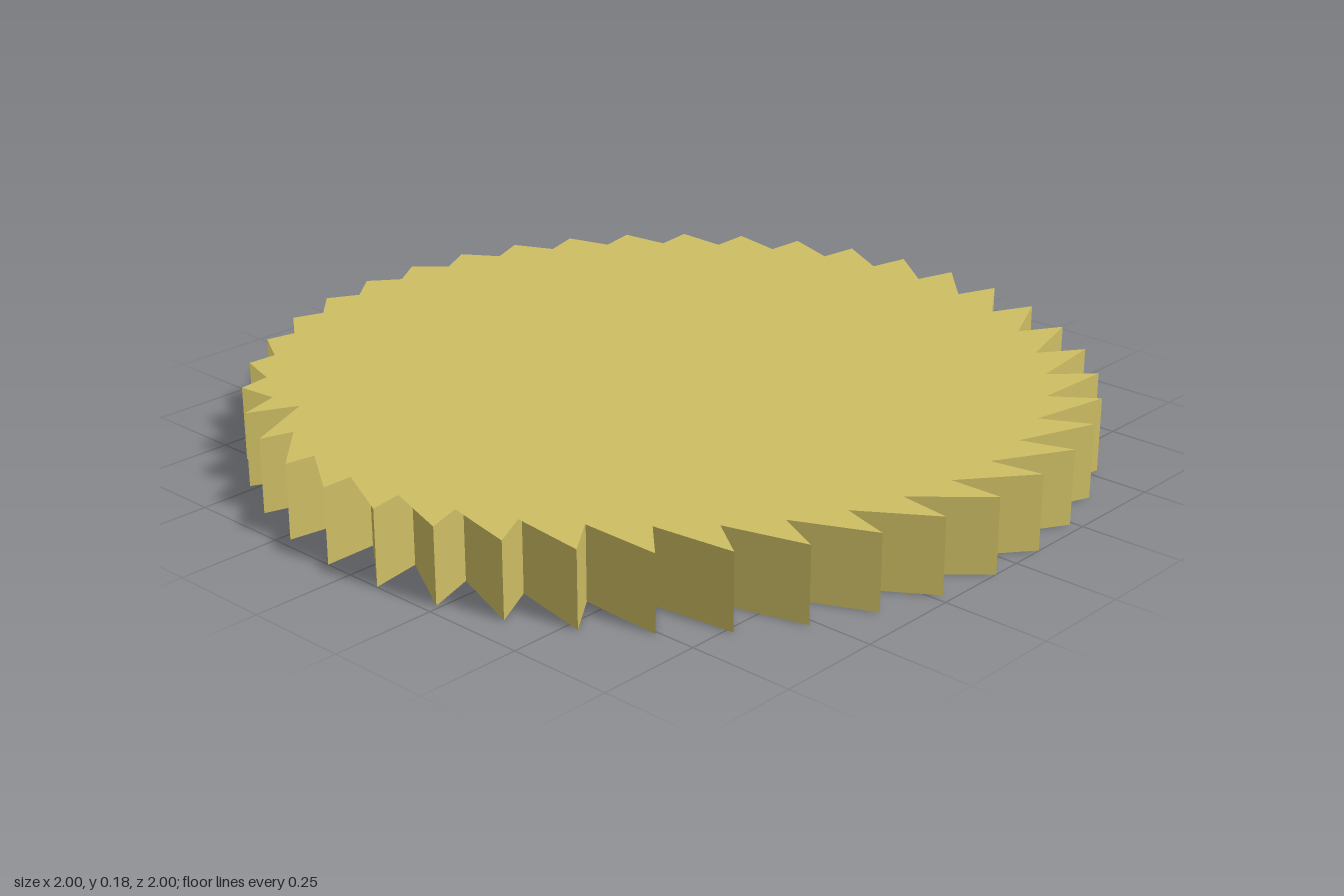
import * as THREE from 'three';

const TEETH = 40, HEIGHT = 0.18;
// Radius and angle (degrees) of the tip and root corner of the first tooth
const TOOTH = [[1.0026, 4.86], [0.877, 4.2]];

// Sawtooth outline, counter-clockwise from above: tip, then root just inside it
function outline() {
  const points = [];
  for (let i = 0; i < TEETH; i++) {
    for (const [r, degrees] of TOOTH) {
      const a = THREE.MathUtils.degToRad(degrees + i * 360 / TEETH);
      points.push([r * Math.cos(a), -r * Math.sin(a)]);
    }
  }
  return points;
}

function toGeometry(positions) {
  const g = new THREE.BufferGeometry();
  g.setAttribute('position', new THREE.Float32BufferAttribute(positions, 3));
  g.computeVertexNormals();
  return g;
}

// Upright walls, two triangles per outline edge
function rim(points) {
  const positions = [];
  points.forEach(([ax, az], i) => {
    const [bx, bz] = points[(i + 1) % points.length];
    positions.push(ax, 0, az, bx, 0, bz, bx, HEIGHT, bz);
    positions.push(ax, 0, az, bx, HEIGHT, bz, ax, HEIGHT, az);
  });
  return toGeometry(positions);
}

// Flat face fanned from the root corner of one tooth, which webs part of the notches;
// triangles that fold back over the fan are left out
function face(points, tooth, y, facesUp) {
  const positions = [], n = points.length, apex = 2 * tooth + 1;
  const [px, pz] = points[apex];
  for (let k = 1; k < n - 1; k++) {
    const a = points[(apex + k) % n], b = points[(apex + k + 1) % n];
    const turn = (a[1] - pz) * (b[0] - px) - (a[0] - px) * (b[1] - pz);
    if (turn <= 0) continue;
    const [first, second] = facesUp ? [a, b] : [b, a];
    positions.push(px, y, pz, first[0], y, first[1], second[0], y, second[1]);
  }
  return toGeometry(positions);
}

export function createModel() {
  const group = new THREE.Group();
  group.name = 'ratchetWheel';
  // Double-sided because the notch webs are seen from both sides
  const brass = new THREE.MeshStandardMaterial({ color: 0xcebe64, side: THREE.DoubleSide });
  brass.name = 'brass';
  const add = (name, geometry) => {
    const mesh = new THREE.Mesh(geometry, brass);
    mesh.name = name;
    group.add(mesh);
  };

  const points = outline();
  add('toothedRim', rim(points));
  add('topFace', face(points, 16, HEIGHT, true));
  add('bottomFace', face(points, 5, 0, false));
  return group;
}
